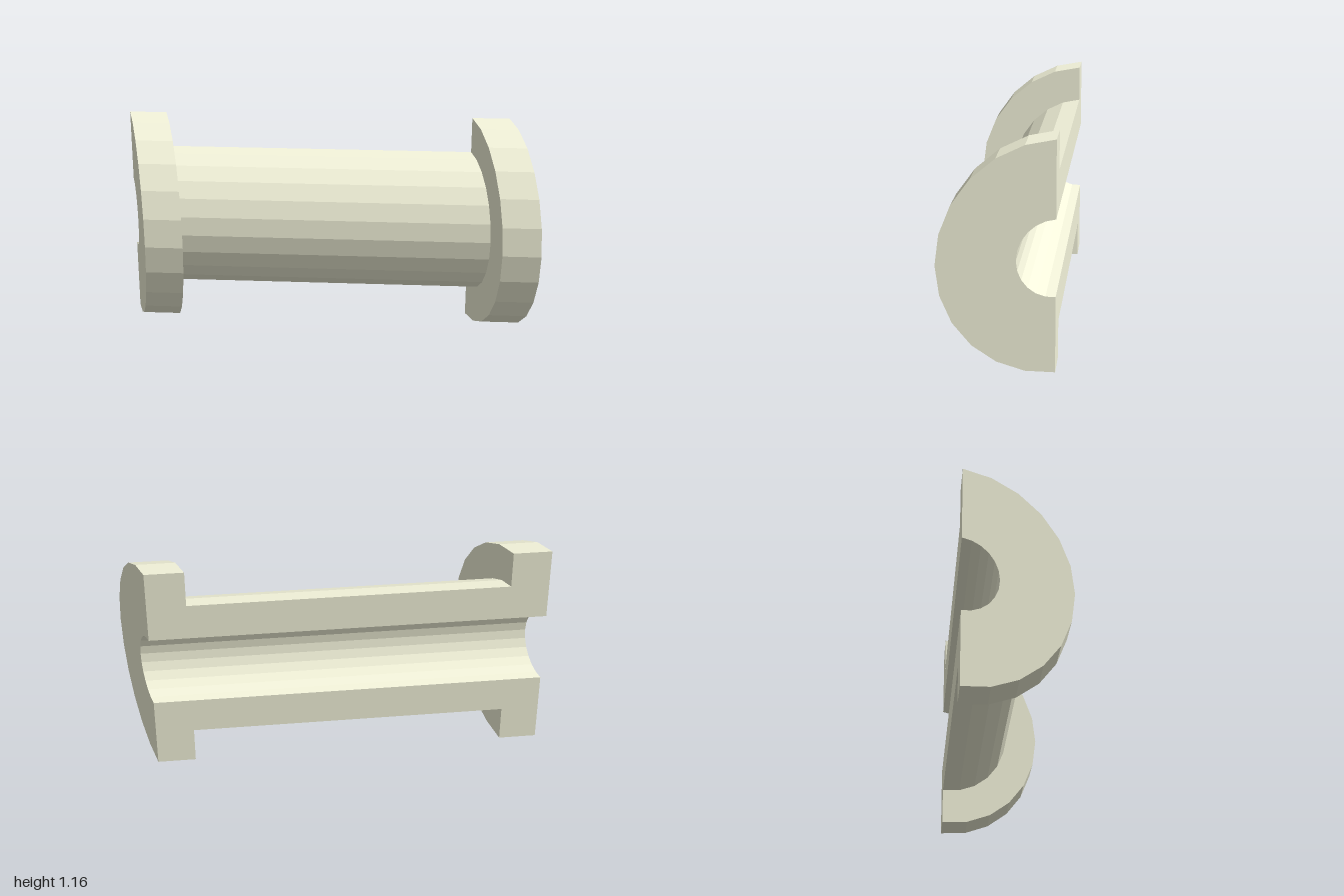
import * as THREE from 'three';
import { mergeGeometries } from 'three/addons/utils/BufferGeometryUtils.js';

const FLANGE_R = 0.581, PIPE_R = 0.387, BORE_R = 0.194;
const FLANGE_X = 0.806; // inner face of each flange
const SLANT = 0.29; // z shift per unit of x
const SEGMENTS = 12; // around the half turn

// Wall section as [radius, position along the axis]
const SECTION = [
  [BORE_R, -1], [FLANGE_R, -1], [FLANGE_R, -FLANGE_X], [PIPE_R, -FLANGE_X],
  [PIPE_R, FLANGE_X], [FLANGE_R, FLANGE_X], [FLANGE_R, 1], [BORE_R, 1],
];

// Half revolution of the closed section, turned so its axis lies along x
function halfShell() {
  const points = [...SECTION, SECTION[0]].map(([r, h]) => new THREE.Vector2(r, h));
  const turn = new THREE.Matrix4().set(
    0, 1, 0, 0,
    0, 0, 1, 0,
    1, 0, 0, 0,
    0, 0, 0, 1);
  return new THREE.LatheGeometry(points, SEGMENTS, 0, Math.PI).applyMatrix4(turn).toNonIndexed();
}

// Flat cut face facing the back, above (side = 1) or below (side = -1) the bore
function cutFace(side) {
  const shape = new THREE.Shape(SECTION.map(([r, h]) => new THREE.Vector2(-h, side * r)));
  return new THREE.ShapeGeometry(shape).rotateY(Math.PI).toNonIndexed();
}

export function createModel() {
  const group = new THREE.Group();
  group.name = 'flangedPipeSection';

  // Slanted half pipe with end flanges: end faces stay square to x
  const geometry = mergeGeometries([halfShell(), cutFace(1), cutFace(-1)]);
  geometry.applyMatrix4(new THREE.Matrix4().makeShear(0, SLANT, 0, 0, 0, 0));
  geometry.translate(0, FLANGE_R, -SLANT);
  geometry.computeVertexNormals();

  const material = new THREE.MeshStandardMaterial({ color: 0xf5f5dc, flatShading: true });
  const pipe = new THREE.Mesh(geometry, material);
  pipe.name = 'halfPipeWithFlanges';
  group.add(pipe);
  return group;
}
